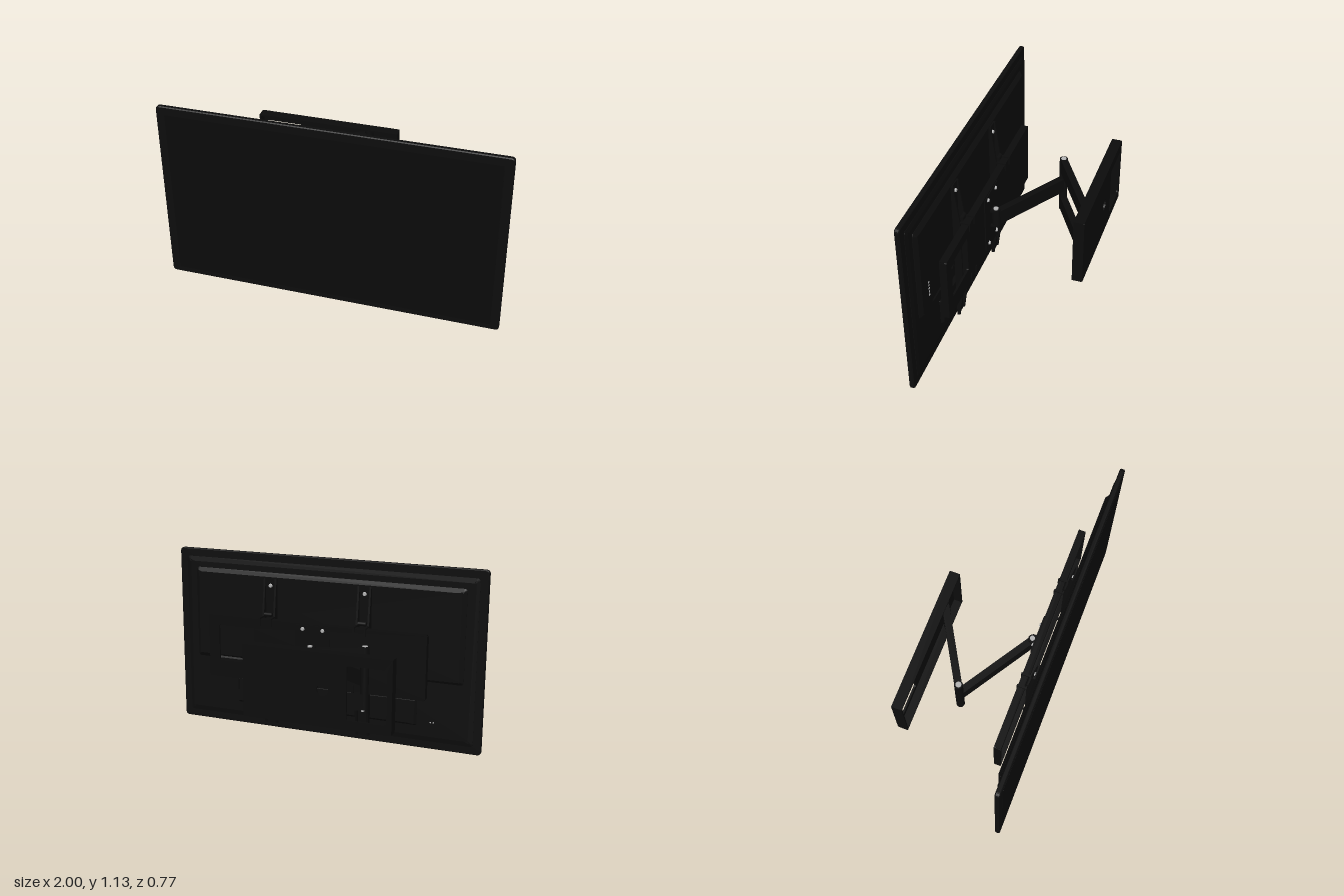
import * as THREE from 'three';

export function createModel() {
  const model = new THREE.Group();
  const mat = (name, color) => {
    const m = new THREE.MeshStandardMaterial({ color });
    m.name = name;
    return m;
  };
  const black = mat('black casing', 0x0d0d0d);
  const glass = mat('dark screen', 0x0b0b0b);
  const metal = mat('black bracket', 0x0c0c0c);
  const steel = mat('bare steel', 0xb4b4b4);

  const add = (name, geo, m, parent = model) => {
    const mesh = new THREE.Mesh(geo, m);
    mesh.name = name;
    parent.add(mesh);
    return mesh;
  };
  // Box given by its limits on each axis
  const box = (name, x0, x1, y0, y1, z0, z1, m, parent) => {
    const mesh = add(name, new THREE.BoxGeometry(x1 - x0, y1 - y0, z1 - z0), m, parent);
    mesh.position.set((x0 + x1) / 2, (y0 + y1) / 2, (z0 + z1) / 2);
    return mesh;
  };
  // Upright cylinder from y0 to y1
  const post = (name, x, z, r, y0, y1, m) => {
    const mesh = add(name, new THREE.CylinderGeometry(r, r, y1 - y0, 24), m);
    mesh.position.set(x, (y0 + y1) / 2, z);
  };
  // Round screw head facing the back
  const screw = (x, y, z, r = 0.013) => {
    const mesh = add('screw', new THREE.CylinderGeometry(r * 0.7, r, 0.01, 16), steel);
    mesh.rotation.x = -Math.PI / 2;
    mesh.position.set(x, y, z);
  };
  const rect = (x0, x1, y0, y1, r, Type = THREE.Shape) => {
    const s = new Type();
    s.moveTo(x0 + r, y0);
    s.lineTo(x1 - r, y0).quadraticCurveTo(x1, y0, x1, y0 + r);
    s.lineTo(x1, y1 - r).quadraticCurveTo(x1, y1, x1 - r, y1);
    s.lineTo(x0 + r, y1).quadraticCurveTo(x0, y1, x0, y1 - r);
    s.lineTo(x0, y0 + r).quadraticCurveTo(x0, y0, x0 + r, y0);
    return s;
  };
  // Slab with optional bevel b (width) by t (depth) between z0 and z1
  const slab = (name, shape, z0, z1, m, b = 0, t = 0) => {
    const geo = new THREE.ExtrudeGeometry(shape, {
      depth: z1 - z0 - 2 * t, bevelEnabled: b > 0, bevelSize: b,
      bevelThickness: t, bevelOffset: -b, bevelSegments: 1, curveSegments: 6,
    });
    return add(name, geo.translate(0, 0, z0 + t), m);
  };

  // Display: casing, screen and stepped back cover
  slab('displayCasing', rect(-1, 1, 0, 1.13, 0.025), 0.355, 0.384, black, 0.005, 0.005);
  slab('screen', rect(-0.95, 0.95, 0.035, 1.08, 0.005), 0.38, 0.385, glass);
  slab('backCoverBase', rect(-0.95, 0.95, 0.05, 1.08, 0.02), 0.346, 0.36, black, 0.03, 0.006);
  const cover = rect(-0.88, 0.88, 0.43, 1.015, 0.02);
  cover.holes.push(rect(0.44, 0.72, 0.46, 0.69, 0.01, THREE.Path));
  slab('upperBackCover', cover, 0.325, 0.365, black, 0.025, 0.018);
  slab('lowerBackCover', rect(-0.6, 0.6, 0.145, 0.32, 0.01), 0.327, 0.365, black, 0.015, 0.018);

  // Sockets and buttons in the back cover
  for (let i = 0; i < 5; i++) {
    box('socket', 0.49 + i * 0.04, 0.508 + i * 0.04, 0.535, 0.553, 0.333, 0.347, steel);
    box('controlButton', 0.765, 0.775, 0.52 + i * 0.022, 0.53 + i * 0.022, 0.322, 0.326, steel);
  }
  for (const [x, y] of [[0.54, 0.59], [0.6, 0.59], [0.57, 0.49]])
    box('socket', x, x + 0.016, y, y + 0.016, 0.333, 0.347, steel);
  for (const x of [-0.71, -0.69]) box('indicator', x, x + 0.008, 0.17, 0.178, 0.344, 0.347, steel);

  // Two upright mounting rails: channels with tapered flanges
  const side = new THREE.Shape([[0.327, 0.045], [0.31, 0.045], [0.281, 0.25], [0.281, 0.75],
    [0.311, 0.985], [0.327, 0.985]].map(([z, y]) => new THREE.Vector2(z, y)));
  for (const x of [-0.263, 0.353]) {
    const rail = new THREE.Group();
    rail.name = 'mountingRail';
    rail.position.x = x;
    model.add(rail);
    box('railBase', -0.043, 0.043, 0.045, 0.985, 0.317, 0.327, metal, rail);
    for (const fx of [-0.031, 0.043]) {
      const geo = new THREE.ExtrudeGeometry(side, { depth: 0.012, bevelEnabled: false });
      add('railFlange', geo.rotateY(-Math.PI / 2), metal, rail).position.x = fx;
      // Hooks over the top and bottom of the cross plate
      const h = fx - 0.012;
      box('topHook', h, fx, 0.742, 0.752, 0.235, 0.285, metal, rail);
      box('bottomHook', h, fx, 0.325, 0.335, 0.235, 0.285, metal, rail);
      box('topHookLip', h, fx, 0.70, 0.752, 0.222, 0.235, metal, rail);
      box('bottomHookLip', h, fx, 0.325, 0.39, 0.222, 0.235, metal, rail);
    }
    const knob = add('hookKnob', new THREE.CylinderGeometry(0.013, 0.013, 0.05, 16), metal, rail);
    knob.position.set(0, 0.763, 0.28);
    knob.rotation.z = Math.PI / 2;
    for (const y of [0.206, 0.938]) screw(x, y, 0.312);
  }

  // Wide cross plate with folded edges and a window to the sockets
  const cross = rect(-0.68, 0.74, 0.343, 0.743, 0.01);
  cross.holes.push(rect(0.43, 0.67, 0.45, 0.68, 0.01, THREE.Path));
  slab('crossPlate', cross, 0.228, 0.24, metal);
  for (const y of [0.343, 0.733]) box('crossPlateFold', -0.675, 0.735, y, y + 0.01, 0.235, 0.27, metal);
  for (const x of [-0.68, 0.73]) box('crossPlateEnd', x, x + 0.01, 0.35, 0.735, 0.235, 0.27, metal);

  // Pivot head on the cross plate
  box('pivotPlate', -0.075, 0.15, 0.37, 0.735, 0.222, 0.229, metal);
  for (const x of [-0.03, 0.10]) for (const y of [0.395, 0.71]) screw(x, y, 0.218);
  for (const y of [0.492, 0.597]) box('pivotLug', 0.012, 0.068, y, y + 0.012, 0.19, 0.225, metal);
  post('headPivot', 0.04, 0.195, 0.025, 0.492, 0.609, metal);
  post('headPivotPin', 0.04, 0.195, 0.015, 0.483, 0.617, steel);

  // Folding arm: single inner link, double outer links
  const link = (name, a, b, y0, y1) => {
    const dx = b[0] - a[0], dz = b[1] - a[1];
    const mesh = add(name, new THREE.BoxGeometry(Math.hypot(dx, dz), y1 - y0, 0.042), metal);
    mesh.position.set((a[0] + b[0]) / 2, (y0 + y1) / 2, (a[1] + b[1]) / 2);
    mesh.rotation.y = -Math.atan2(dz, dx);
  };
  const head = [0.04, 0.195], elbow = [-0.41, -0.087], wall = [0.03, -0.345];
  link('innerArm', head, elbow, 0.502, 0.595);
  link('outerArmTop', elbow, wall, 0.64, 0.733);
  link('outerArmBottom', elbow, wall, 0.362, 0.455);
  post('elbowPivot', ...elbow, 0.025, 0.362, 0.733, metal);
  post('elbowPin', ...elbow, 0.017, 0.36, 0.735, steel);
  post('wallPivot', ...wall, 0.025, 0.345, 0.75, metal);

  // Wall tray with a cable window and a round hole
  const back = rect(-0.67, 0.21, 0.335, 0.76, 0.006);
  back.holes.push(rect(-0.64, -0.41, 0.39, 0.7, 0.015, THREE.Path));
  const hole = new THREE.Path();
  hole.absarc(-0.27, 0.547, 0.035, 0, Math.PI * 2, true);
  back.holes.push(hole);
  slab('wallPlate', back, -0.385, -0.373, metal);
  for (const y of [0.335, 0.75]) box('wallTrayFlange', -0.67, 0.21, y, y + 0.01, -0.38, -0.322, metal);
  for (const x of [-0.67, 0.2]) box('wallTrayEnd', x, x + 0.01, 0.338, 0.757, -0.38, -0.322, metal);

  return model;
}
